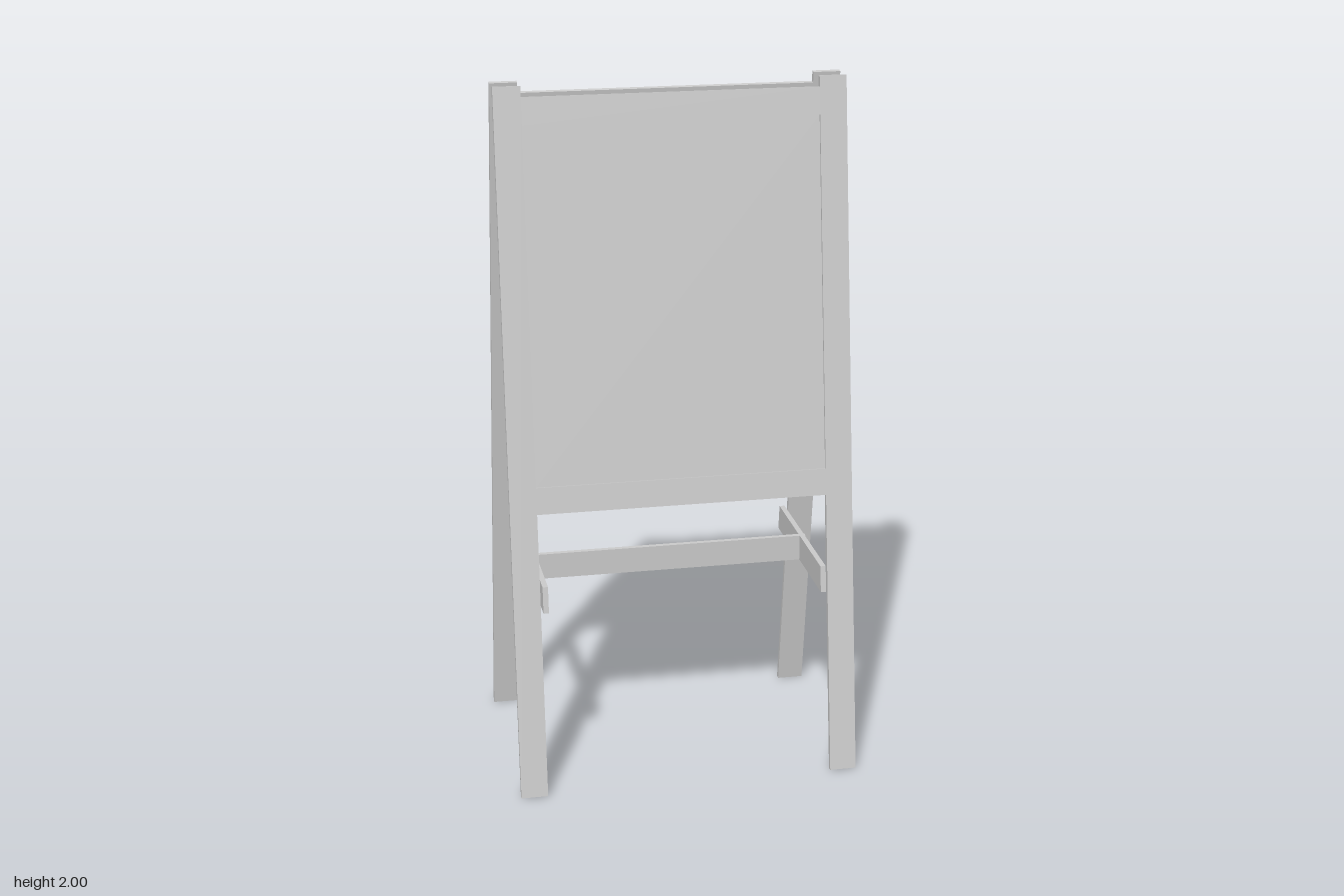
import * as THREE from 'three';

const TILT = 0.1443;      // lean of each frame
const T = 0.0148;         // board thickness
const mat = new THREE.MeshStandardMaterial({ color: 0xcccccc, flatShading: true });

function box(name, w, h, d, x, y, z) {
  const mesh = new THREE.Mesh(new THREE.BoxGeometry(w, h, d), mat);
  mesh.name = name;
  mesh.position.set(x, y, z);
  return mesh;
}

// Height in the model to position along the leaning board
const along = (y) => (y - 1) / Math.cos(TILT);

// One leaning frame: two posts, two rails and a panel recessed on its outer face
function frame(name) {
  const pivot = new THREE.Group();
  pivot.name = name;
  const board = new THREE.Group();
  board.name = 'leaningBoard';
  board.position.set(0, 1, 0.178);
  board.rotation.x = -TILT;
  for (const s of [-1, 1]) {
    board.add(box(s > 0 ? 'leftPost' : 'rightPost', 0.077, 2.019, T, s * 0.4565, 0, 0));
  }
  const span = (part, y0, y1, d, z) =>
    board.add(box(part, 0.836, along(y1) - along(y0), d, 0, along((y0 + y1) / 2), z));
  span('topRail', 1.893, 1.969, T, 0);
  span('bottomRail', 0.82, 0.896, T, 0);
  span('panel', 0.896, 1.893, T / 2, -T / 4);
  pivot.add(board);
  return pivot;
}

// Bar running front to back, its ends cut parallel to the frames
function brace(name, x, y0, y1, bottomHalf, topHalf) {
  const shape = new THREE.Shape([
    new THREE.Vector2(-bottomHalf, y0), new THREE.Vector2(bottomHalf, y0),
    new THREE.Vector2(topHalf, y1), new THREE.Vector2(-topHalf, y1),
  ]);
  const geo = new THREE.ExtrudeGeometry(shape, { depth: 0.0155, bevelEnabled: false });
  geo.translate(0, 0, -0.00775);
  geo.rotateY(Math.PI / 2);
  const mesh = new THREE.Mesh(geo, mat);
  mesh.name = name;
  mesh.position.x = x;
  return mesh;
}

export function createModel() {
  const model = new THREE.Group();
  model.name = 'easel';

  // Front frame and its twin turned to the back
  const back = frame('backFrame');
  back.rotation.y = Math.PI;
  model.add(frame('frontFrame'), back);

  // Braces joining the frames on each side
  for (const s of [-1, 1]) {
    const side = s > 0 ? 'left' : 'right';
    model.add(brace(side + 'TopBrace', s * 0.428, 1.84, 1.915, 0.052, 0.041));
    model.add(brace(side + 'Spreader', s * 0.404, 0.54, 0.616, 0.259, 0.248));
  }

  // Bar linking the two spreaders
  model.add(box('crossBar', 0.828, 0.076, 0.0155, 0, 0.578, -0.003));
  return model;
}
